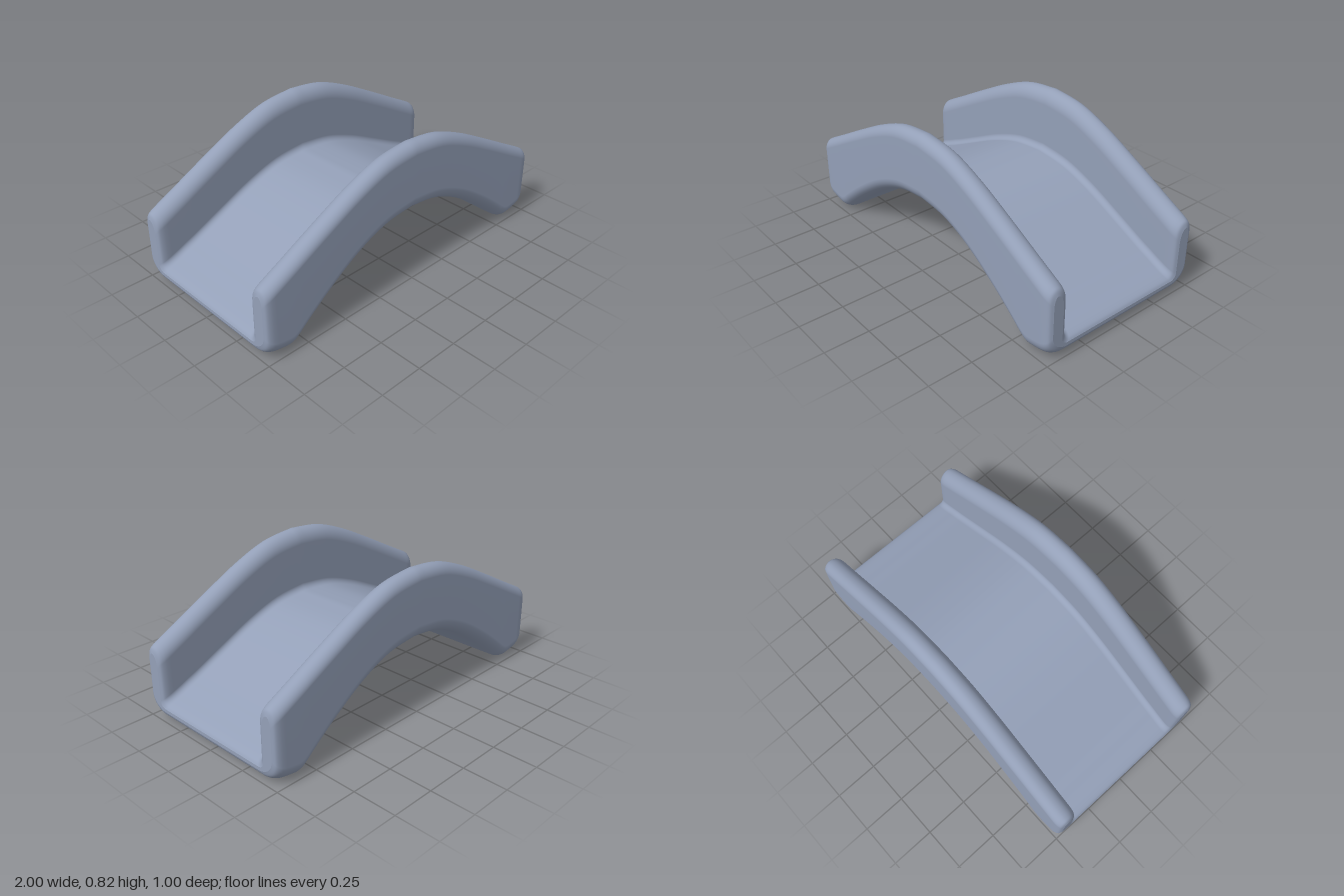
import * as THREE from 'three';

// Stations along half the length: x, wall top, deck top, underside, side inset
const STATIONS = [
  [0, 0.82, 0.465, 0.42, 0],
  [0.2, 0.796, 0.442, 0.394, 0],
  [0.4, 0.722, 0.375, 0.312, 0],
  [0.6, 0.622, 0.282, 0.183, 0],
  [0.75, 0.543, 0.21, 0.067, 0],
  [0.8, 0.516, 0.187, 0.025, 0],
  [0.84, 0.495, 0.17, 0.004, 0],
  [0.89, 0.469, 0.147, 0.008, 0],
  [0.94, 0.443, 0.126, 0.018, 0],
  [0.97, 0.427, 0.112, 0.03, 0.003],
  [0.99, 0.412, 0.099, 0.046, 0.012],
  [1, 0.385, 0.085, 0.066, 0.03],
];

// Smooth interpolation of every station column
function sampleStations(steps) {
  const curves = [1, 2, 3, 4].map(
    (k) => new THREE.SplineCurve(STATIONS.map((s) => new THREE.Vector2(s[0], s[k])))
  );
  const half = [];
  for (let i = 0; i <= steps; i++) {
    const p = curves.map((c) => c.getPoint(i / steps));
    half.push([p[0].x, ...p.map((q) => q.y)]);
  }
  const mirrored = half.slice(1).reverse().map(([x, ...rest]) => [-x, ...rest]);
  return [...mirrored, ...half];
}

// Quarter ellipse in (z, y)
function corner(out, cz, cy, rz, ry, from, to, n = 8) {
  for (let i = 0; i <= n; i++) {
    const a = from + ((to - from) * i) / n;
    out.push(new THREE.Vector2(cz + rz * Math.cos(a), cy + ry * Math.sin(a)));
  }
}

// Closed U-shaped cross-section: deck with a rounded wall on each side
function section(top, deck, bottom, inset) {
  const H = Math.PI / 2;
  const outer = 0.5 - inset;
  const inner = 0.378 + inset;
  const ridge = 0.446;
  const half = [new THREE.Vector2(0, bottom)];
  corner(half, outer - 0.1, bottom + 0.09, 0.1, 0.09, -H, 0);
  corner(half, ridge, top - 0.06, outer - ridge, 0.06, 0, H);
  corner(half, ridge, top - 0.08, ridge - inner, 0.08, H, 2 * H);
  corner(half, inner - 0.035, deck + 0.035, 0.035, 0.035, 0, -H);
  half.push(new THREE.Vector2(0, deck));
  // drop the repeated ridge point, then mirror
  const clean = half.filter((p, i) => i === 0 || p.distanceTo(half[i - 1]) > 1e-5 || i === half.length - 1);
  const ring = [...clean];
  for (let i = clean.length - 2; i > 0; i--) ring.push(new THREE.Vector2(-clean[i].x, clean[i].y));
  return ring;
}

function archGeometries() {
  const stations = sampleStations(55);
  const rings = stations.map(([, t, d, b, e]) => section(t, d, b, Math.max(0, e)));
  const n = rings[0].length;

  // Lofted skin
  const pos = [];
  const index = [];
  rings.forEach((ring, i) => {
    ring.forEach((p) => pos.push(stations[i][0], p.y, p.x));
    if (i === rings.length - 1) return;
    for (let j = 0; j < n; j++) {
      const a = i * n + j;
      const b = i * n + ((j + 1) % n);
      index.push(a, a + n, b, b, a + n, b + n);
    }
  });
  const skin = new THREE.BufferGeometry();
  skin.setAttribute('position', new THREE.Float32BufferAttribute(pos, 3));
  skin.setIndex(index);
  skin.computeVertexNormals();

  // Flat end faces
  const caps = [0, rings.length - 1].map((i) => {
    const faces = THREE.ShapeUtils.triangulateShape(rings[i], []);
    const cap = new THREE.BufferGeometry();
    cap.setAttribute('position', new THREE.Float32BufferAttribute(
      rings[i].flatMap((p) => [stations[i][0], p.y, p.x]), 3));
    cap.setIndex(faces.flatMap(([a, b, c]) => (i === 0 ? [a, b, c] : [a, c, b])));
    cap.computeVertexNormals();
    return cap;
  });
  return { skin, caps };
}

export function createModel() {
  const model = new THREE.Group();
  model.name = 'archedBridge';
  const slate = new THREE.MeshStandardMaterial({ color: 0x94a0b8 });
  slate.name = 'slate blue grey';

  const { skin, caps } = archGeometries();
  const add = (name, geometry) => {
    const mesh = new THREE.Mesh(geometry, slate);
    mesh.name = name;
    model.add(mesh);
  };
  add('deckAndWalls', skin);
  add('rightEnd', caps[0]);
  add('leftEnd', caps[1]);
  return model;
}
